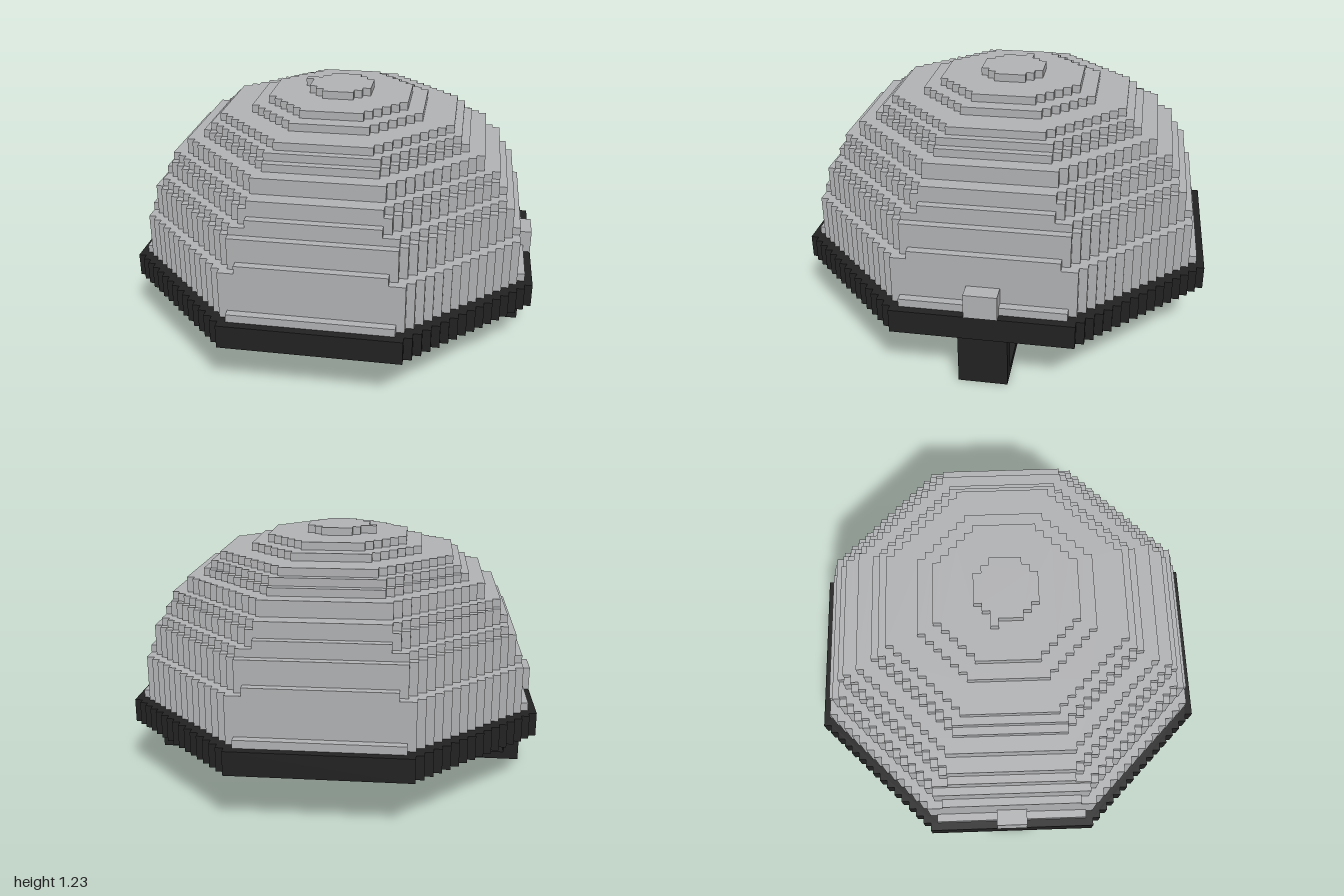
import * as THREE from 'three';

const V = 1 / 26; // size of one block

// Stair-stepped octagon: half width r, diagonal limit s (both in blocks)
function steppedOctagon(r, s) {
  const f = s - r;
  const quarter = [[r, f]];
  for (let x = r, z = f; x > f; x--, z++) quarter.push([x - 1, z], [x - 1, z + 1]);
  const points = [];
  for (let q = 0; q < 4; q++) {
    for (const [x, z] of quarter) {
      const [a, b] = [[x, z], [-z, x], [-x, -z], [z, -x]][q];
      points.push(new THREE.Vector2(a * V, b * V));
    }
  }
  return points;
}

// Horizontal slab from an octagon, with an optional octagonal opening
function slab(name, material, y, height, outer, inner) {
  const shape = new THREE.Shape(steppedOctagon(...outer));
  if (inner) shape.holes.push(new THREE.Path(steppedOctagon(...inner)));
  const geometry = new THREE.ExtrudeGeometry(shape, { depth: height * V, bevelEnabled: false });
  geometry.rotateX(-Math.PI / 2);
  geometry.translate(0, y * V, 0);
  const mesh = new THREE.Mesh(geometry, material);
  mesh.name = name;
  return mesh;
}

// Box from its minimum and maximum corners, in blocks
function block(name, material, x0, x1, y0, y1, z0, z1) {
  const geometry = new THREE.BoxGeometry((x1 - x0) * V, (y1 - y0) * V, (z1 - z0) * V);
  const mesh = new THREE.Mesh(geometry, material);
  mesh.position.set((x0 + x1) * V / 2, (y0 + y1) * V / 2, (z0 + z1) * V / 2);
  mesh.name = name;
  return mesh;
}

export function createModel() {
  const shellGrey = new THREE.MeshStandardMaterial({ color: 0xb3b4b6 });
  shellGrey.name = 'shell grey';
  const trimBlack = new THREE.MeshStandardMaterial({ color: 0x222222 });
  trimBlack.name = 'trim black';

  const model = new THREE.Group();
  model.name = 'helmet';

  // Hollow dome: [number of layers, half width, diagonal limit], bottom to top
  const runs = [
    [1, 25, 35], [5, 24, 35], [1, 24, 33], [3, 23, 33], [1, 22, 32], [1, 22, 30],
    [1, 21, 30], [1, 21, 29], [2, 19, 27], [1, 17, 24], [1, 16, 23], [1, 15, 21],
    [1, 11, 16], [1, 9, 13], [1, 4, 6],
  ];
  const layers = runs.flatMap(([n, r, s]) => Array.from({ length: n }, () => [r, s]));
  const dome = new THREE.Group();
  dome.name = 'dome';
  layers.forEach(([r, s], i) => {
    const above = layers[i + 1];
    const inner = above && [Math.min(r - 1, above[0]), Math.min(s - 2, above[1])];
    dome.add(slab('domeLayer', shellGrey, 10 + i, 1, [r, s], inner));
  });
  dome.add(block('crownStud', shellGrey, -5, -4, 31, 32, -2, -1));
  model.add(dome);

  // Rim
  model.add(slab('rim', trimBlack, 7, 3, [26, 37], [25, 35]));

  // Side knobs and strap uprights
  for (const side of [-1, 1]) {
    const span = (a, b) => (side > 0 ? [a, b] : [-b, -a]);
    model.add(block('sideKnob', shellGrey, ...span(24, 26), 10, 13, -2, 2));
    model.add(block('strapUpright', trimBlack, ...span(23, 25), 0, 10, -3, 3));
  }

  // Chin strap, split by its buckle
  model.add(block('chinStrap', trimBlack, -23, 5, 0, 1, -3, 3));
  model.add(block('chinStrap', trimBlack, 12, 23, 0, 1, -3, 3));
  model.add(block('buckle', shellGrey, 5, 12, 0, 2, -4, 4));

  return model;
}
